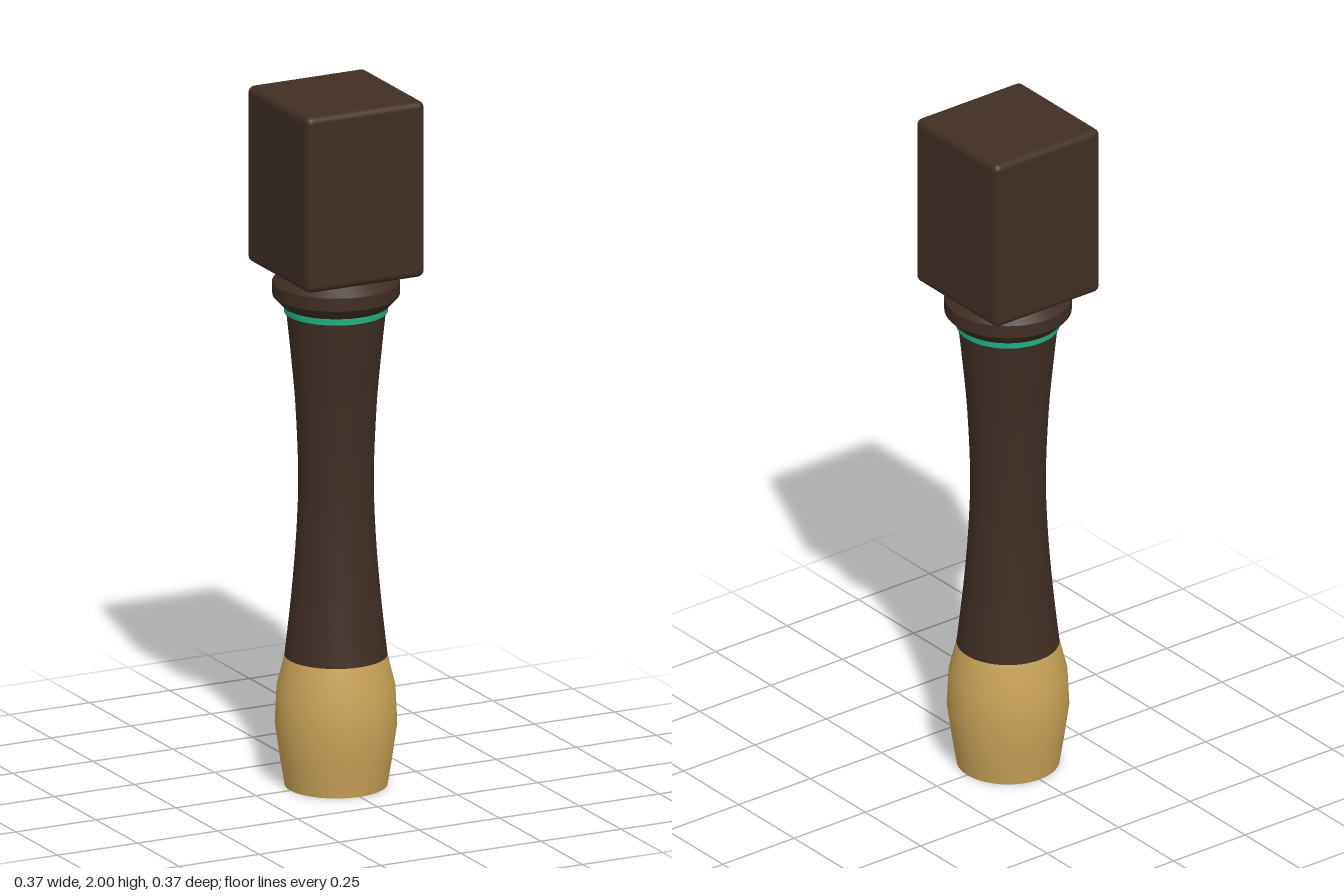
import * as THREE from 'three';
import { toCreasedNormals } from 'three/addons/utils/BufferGeometryUtils.js';
import { RoundedBoxGeometry } from 'three/addons/geometries/RoundedBoxGeometry.js';

const SEGMENTS = 48;

function material(name, color) {
  const m = new THREE.MeshStandardMaterial({ color });
  m.name = name;
  return m;
}

// Turned part from [radius, height] pairs, listed bottom to top
function turned(name, profile, mat, crease = 0.35) {
  const points = profile.map(([r, y]) => new THREE.Vector2(r, y));
  const geometry = toCreasedNormals(new THREE.LatheGeometry(points, SEGMENTS), crease);
  const mesh = new THREE.Mesh(geometry, mat);
  mesh.name = name;
  return mesh;
}

export function createModel() {
  const darkWood = material('dark wood', 0x3f2e24);
  const brass = material('brass', 0xc8a457);
  const green = material('green inlay', 0x1fae80);

  const leg = new THREE.Group();
  leg.name = 'turnedLeg';

  // Barrel-shaped foot with a flat underside
  leg.add(turned('foot', [
    [0, 0], [0.143, 0], [0.156, 0.08], [0.17, 0.18], [0.165, 0.285], [0.143, 0.375], [0, 0.375],
  ], brass));

  // Waisted shaft
  const waist = new THREE.SplineCurve([
    [0.143, 0.375], [0.124, 0.55], [0.11, 0.73], [0.105, 0.9], [0.113, 1.1], [0.126, 1.25], [0.139, 1.375],
  ].map(([r, y]) => new THREE.Vector2(r, y)));
  leg.add(turned('shaft', waist.getPoints(24).map((p) => [p.x, p.y]), darkWood));

  // Inlaid ring under the collar
  leg.add(turned('inlayRing', [
    [0, 1.37], [0.144, 1.37], [0.144, 1.39], [0, 1.39],
  ], green));

  // Bevelled collar
  leg.add(turned('collar', [
    [0, 1.39], [0.15, 1.39], [0.177, 1.42], [0.177, 1.458], [0.145, 1.488], [0.145, 1.5], [0, 1.5],
  ], darkWood));

  // Square top block with softened edges
  const block = new THREE.Mesh(new RoundedBoxGeometry(0.37, 0.51, 0.37, 4, 0.02), darkWood);
  block.name = 'topBlock';
  block.position.y = 1.745;
  leg.add(block);

  return leg;
}
